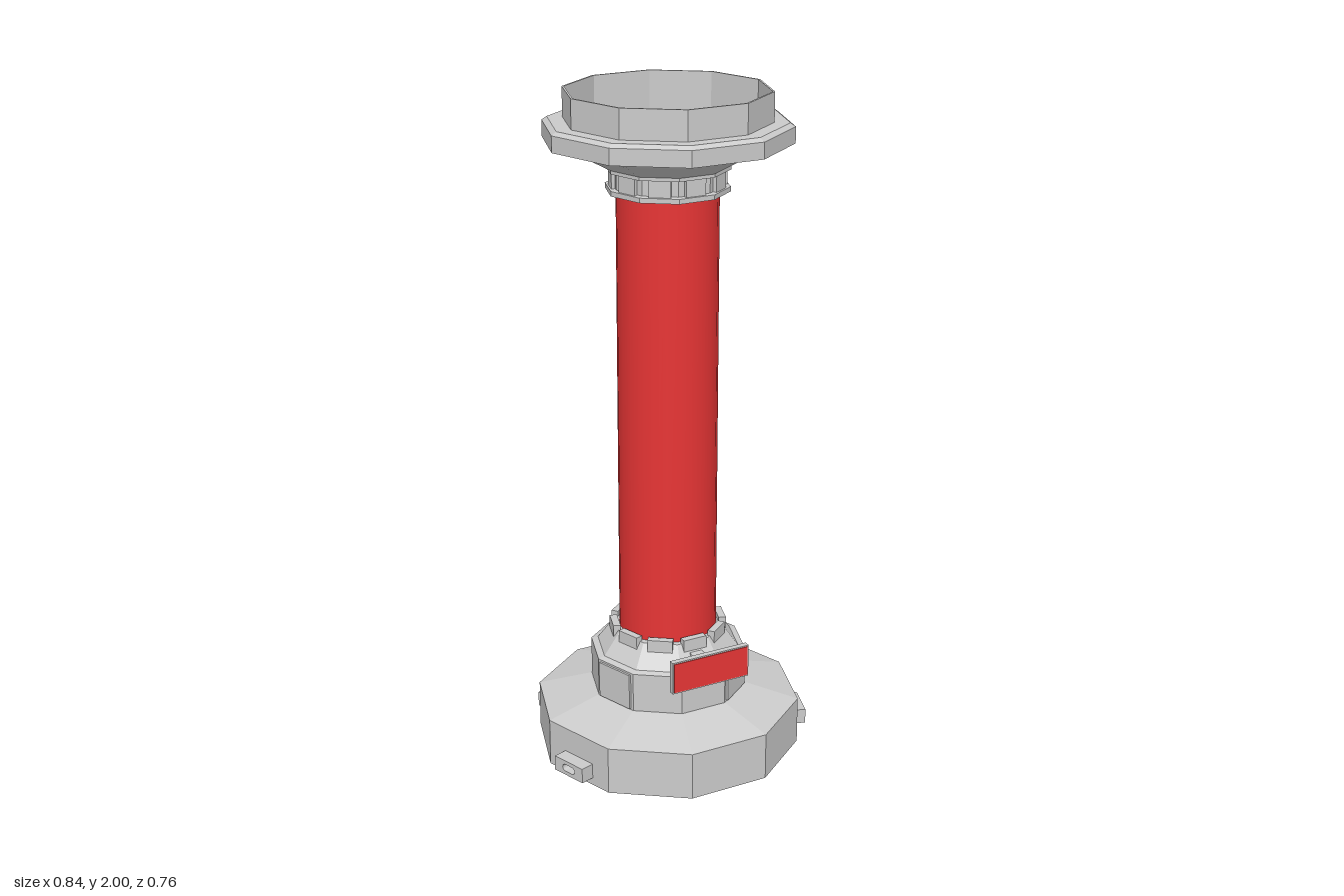
import * as THREE from 'three';

const SIDES = 10;
const grey = new THREE.MeshStandardMaterial({ color: 0xcccccc, flatShading: true });
const red = new THREE.MeshStandardMaterial({ color: 0xe83535 });

export function createModel() {
  const model = new THREE.Group();

  function add(name, geometry, material = grey, parent = model) {
    const mesh = new THREE.Mesh(geometry, material);
    mesh.name = name;
    parent.add(mesh);
    return mesh;
  }

  // Ten-sided turned part with corners on the x axis
  function turned(name, profile) {
    const points = profile.map(([r, y]) => new THREE.Vector2(r, y));
    return add(name, new THREE.LatheGeometry(points, SIDES, Math.PI / 2, Math.PI * 2));
  }

  // Places a mesh at a radius, facing outward; angle in degrees from the front
  function around(mesh, degrees, radius, y) {
    const a = THREE.MathUtils.degToRad(degrees);
    mesh.position.set(Math.sin(a) * radius, y, Math.cos(a) * radius);
    mesh.rotation.y = a;
    return mesh;
  }

  turned('base', [[0, 0], [0.4, 0], [0.4, 0.145], [0.24, 0.19], [0, 0.19]]);
  turned('lowerCollar', [
    [0.235, 0.185], [0.235, 0.31], [0.215, 0.315], [0.165, 0.382], [0.14, 0.382],
  ]);

  add('column', new THREE.CylinderGeometry(0.146, 0.146, 1.35, 24, 1, true), red)
    .position.y = 1.047;

  // Top collar, flange and open cup
  turned('topCup', [
    [0.14, 1.718], [0.178, 1.718], [0.178, 1.732], [0.161, 1.734], [0.161, 1.778],
    [0.178, 1.78], [0.178, 1.79], [0.2, 1.802], [0.255, 1.832], [0.275, 1.848],
    [0.355, 1.858], [0.355, 1.905], [0.34, 1.915], [0.296, 1.915], [0.296, 2],
    [0.29, 2], [0.29, 1.885], [0.258, 1.866], [0.24, 1.84], [0.19, 1.808],
    [0.168, 1.795], [0.152, 1.775], [0.148, 1.724], [0, 1.724],
  ]);

  // Small tabs holding the column, and blocks in the top collar
  for (let i = 0; i < SIDES; i++) {
    const angle = (i * 360) / SIDES;
    around(add('columnTab', new THREE.BoxGeometry(0.075, 0.05, 0.022)), angle, 0.161, 0.373);
    around(add('collarBlock', new THREE.BoxGeometry(0.062, 0.048, 0.016)), angle, 0.156, 1.756);
  }

  // Raised panels on the lower collar
  for (const angle of [36, -72, 180]) {
    around(add('collarPanel', new THREE.BoxGeometry(0.125, 0.11, 0.016)), angle, 0.222, 0.249);
  }

  // Slotted lugs on the base
  const lugShape = new THREE.Shape();
  lugShape.moveTo(-0.058, -0.023).lineTo(0.058, -0.023).lineTo(0.058, 0.023).lineTo(-0.058, 0.023);
  const slot = new THREE.Path();
  slot.absarc(0.014, 0, 0.011, -Math.PI / 2, Math.PI / 2);
  slot.absarc(-0.014, 0, 0.011, Math.PI / 2, Math.PI * 1.5);
  lugShape.holes.push(slot);
  const lugGeometry = new THREE.ExtrudeGeometry(lugShape, {
    depth: 0.06, bevelEnabled: false, curveSegments: 6,
  });
  for (const angle of [72, -72, -144]) {
    around(add('baseLug', lugGeometry), angle, 0.363, 0.046);
  }

  // Sign plate with a grey rim on a short stem
  const sign = new THREE.Group();
  sign.name = 'signPlate';
  model.add(sign);
  add('plateBack', new THREE.BoxGeometry(0.254, 0.1, 0.018), grey, sign).position.set(0, 0.338, 0.258);
  add('plateFace', new THREE.BoxGeometry(0.246, 0.092, 0.004), red, sign).position.set(0, 0.338, 0.267);
  const stem = add('plateStem', new THREE.BoxGeometry(0.04, 0.014, 0.1), grey, sign);
  stem.position.set(0, 0.346, 0.205);
  stem.rotation.x = 0.12;

  return model;
}
